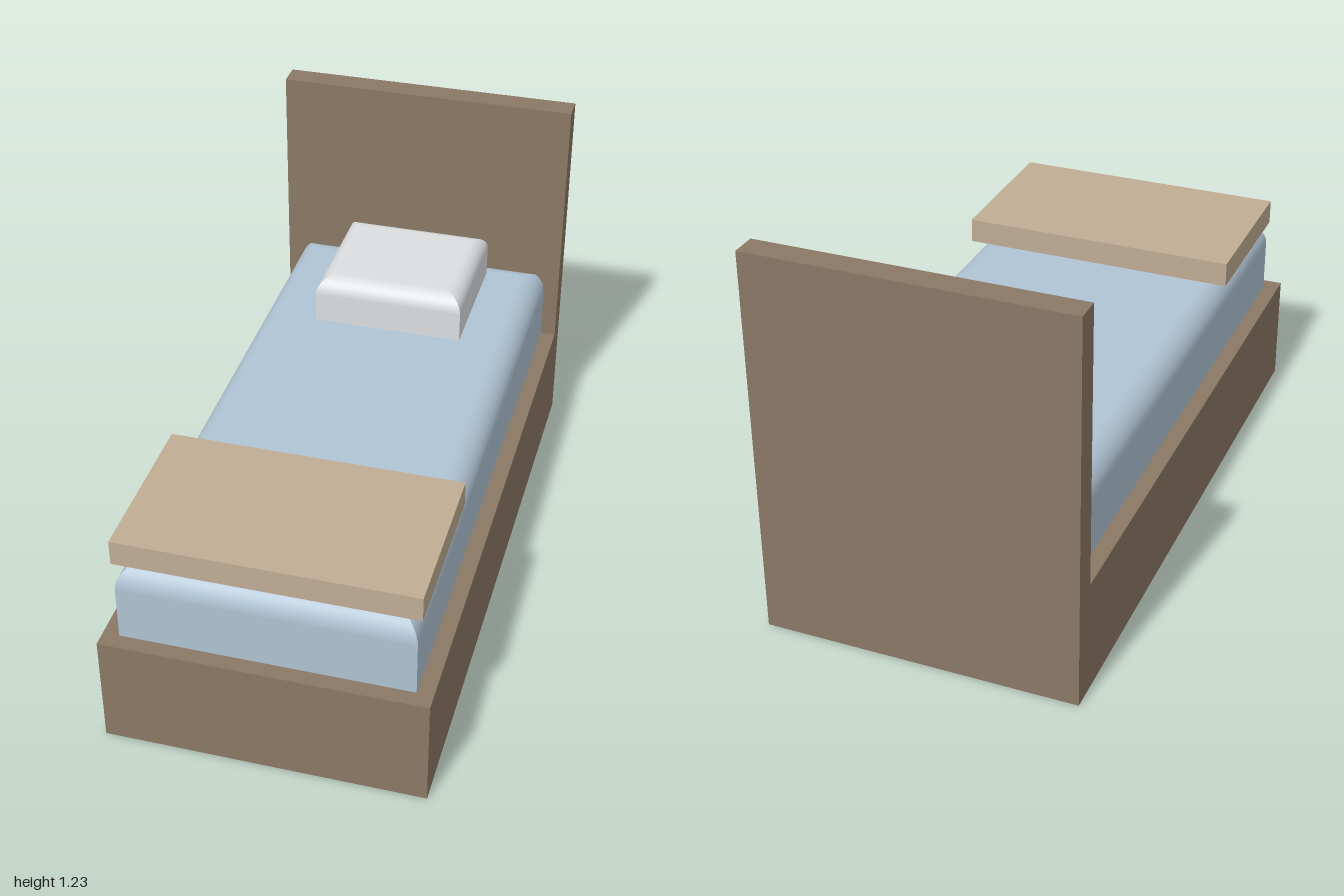
import * as THREE from 'three';

const material = (name, color) => {
  const m = new THREE.MeshStandardMaterial({ color });
  m.name = name;
  return m;
};

// Box spanning [x0,x1] etc., given by its limits
function box(name, mat, [x0, x1], [y0, y1], [z0, z1]) {
  const mesh = new THREE.Mesh(new THREE.BoxGeometry(x1 - x0, y1 - y0, z1 - z0), mat);
  mesh.position.set((x0 + x1) / 2, (y0 + y1) / 2, (z0 + z1) / 2);
  mesh.name = name;
  return mesh;
}

// Cushion with sharp upright corners and a softly rounded top edge
function cushion(name, mat, halfX, [y0, y1], [z0, z1], radius) {
  const positions = [], normals = [], index = [];
  const zMid = (z0 + z1) / 2, halfZ = (z1 - z0) / 2, steps = 10;
  const add = (x, y, z, nx, ny, nz) => {
    positions.push(x, y, z + zMid);
    normals.push(nx, ny, nz);
    return positions.length / 3 - 1;
  };
  const quad = (a, b, c, d) => index.push(a, b, c, a, c, d);

  // Rows from the foot of the wall up over the rounded edge
  const rows = [{ inset: 0, y: y0, t: 0 }];
  for (let i = 0; i <= steps; i++) {
    const t = (i / steps) * Math.PI / 2;
    rows.push({ inset: radius * (1 - Math.cos(t)), y: y1 - radius + radius * Math.sin(t), t });
  }
  const corners = [[-1, 1], [1, 1], [1, -1], [-1, -1]];
  corners.forEach((a, k) => {
    const b = corners[(k + 1) % 4];
    const nx = (a[0] + b[0]) / 2, nz = (a[1] + b[1]) / 2;
    let last = null;
    for (const { inset, y, t } of rows) {
      const row = [a, b].map(([sx, sz]) => add(sx * (halfX - inset), y, sz * (halfZ - inset),
        nx * Math.cos(t), Math.sin(t), nz * Math.cos(t)));
      if (last) quad(last[0], last[1], row[1], row[0]);
      last = row;
    }
  });

  // Flat top and underside
  quad(...corners.map(([sx, sz]) => add(sx * (halfX - radius), y1, sz * (halfZ - radius), 0, 1, 0)));
  quad(...corners.map(([sx, sz]) => add(sx * halfX, y0, sz * halfZ, 0, -1, 0)).reverse());

  const geometry = new THREE.BufferGeometry();
  geometry.setAttribute('position', new THREE.Float32BufferAttribute(positions, 3));
  geometry.setAttribute('normal', new THREE.Float32BufferAttribute(normals, 3));
  geometry.setIndex(index);
  const mesh = new THREE.Mesh(geometry, mat);
  mesh.name = name;
  return mesh;
}

export function createModel() {
  const wood = material('brown wood', 0x8b7866);
  const sheet = material('pale blue sheet', 0xb0c4d4);
  const blanket = material('tan blanket', 0xc0ad94);
  const white = material('soft white', 0xdcdee0);

  const bed = new THREE.Group();
  bed.name = 'bed';
  bed.add(
    box('bedBase', wood, [-0.49, 0.49], [0, 0.36], [-0.92, 1]),
    box('headboard', wood, [-0.49, 0.49], [0, 1.23], [-1, -0.92]),
    // The mattress tucks slightly into the headboard
    cushion('mattress', sheet, 0.44, [0.36, 0.615], [-0.95, 0.95], 0.08),
    box('foldedBlanket', blanket, [-0.45, 0.45], [0.62, 0.70], [0.42, 0.94]),
    cushion('pillow', white, 0.245, [0.61, 0.77], [-0.86, -0.42], 0.055),
  );
  return bed;
}
